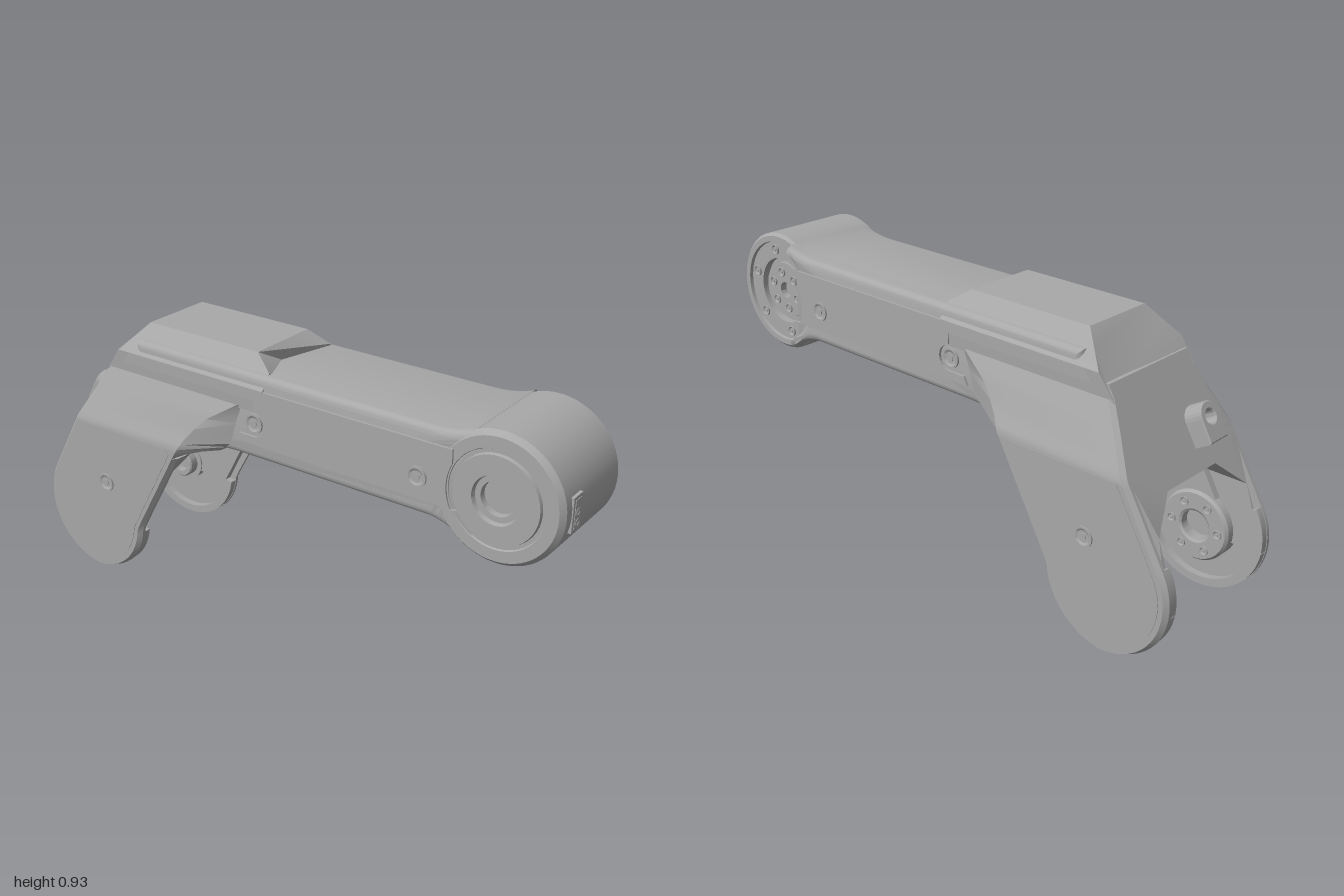
import * as THREE from 'three';
import { toCreasedNormals } from 'three/addons/utils/BufferGeometryUtils.js';

const shell = new THREE.MeshStandardMaterial({ color: 0xa8a8a8 });
shell.name = 'grey shell';
const HEAD = [0.785, 0.72], FOOT = [-0.775, 0.23], FOOT_R = 0.225;

function part(parent, name, geo, crease = 0.5) {
  const m = new THREE.Mesh(toCreasedNormals(geo, crease), shell);
  m.name = name;
  parent.add(m);
  return m;
}

// Extrude an x-y shape from z0 to z1, keeping the outline size
function slab(shape, z0, z1, bevel = 0, segs = 1) {
  const g = new THREE.ExtrudeGeometry(shape, {
    depth: z1 - z0 - 2 * bevel, bevelEnabled: bevel > 0, bevelSize: bevel,
    bevelThickness: bevel, bevelOffset: -bevel, bevelSegments: segs, curveSegments: 32,
  });
  return g.translate(0, 0, z0 + bevel);
}

// Turned part whose axis points along +z (dir 1) or -z (dir -1)
function turned(points, dir = 1, segs = 64) {
  const g = new THREE.LatheGeometry(points.map(p => new THREE.Vector2(p[0], p[1])), segs);
  return g.rotateX(dir * Math.PI / 2);
}

function screw(parent, x, y, z, dir, s = 1) {
  const pts = [[0.034, -0.005], [0.034, 0.005], [0.027, 0.005], [0.02, 0.001], [0.011, 0.001], [0.011, 0.004], [0, 0.004]];
  const m = part(parent, 'screw', turned(pts.map(p => [p[0] * s, p[1]]), dir, 20));
  m.position.set(x, y, z);
}

// Linear interpolation through [y, value] pairs
function ramp(table, y) {
  if (y <= table[0][0]) return table[0][1];
  for (let i = 1; i < table.length; i++) {
    const [y0, v0] = table[i - 1], [y1, v1] = table[i];
    if (y <= y1) return v0 + (v1 - v0) * (y - y0) / (y1 - y0);
  }
  return table[table.length - 1][1];
}

// Rear and front edges of the fork at a given height
const round = y => Math.sqrt(Math.max(0, FOOT_R ** 2 - (y - FOOT[1]) ** 2));
const rearX = y => y < 0.342 ? FOOT[0] - round(y) : ramp([[0.342, -0.97], [0.81, -0.7], [0.935, -0.58]], y);
const frontX = y => y < 0.215 ? FOOT[0] + round(y)
  : ramp([[0.215, -0.55], [0.55, -0.362], [0.64, -0.308], [0.7, -0.25], [0.77, -0.14]], y);
const blendX = y => ramp([[0.54, -0.368], [0.55, -0.345], [0.58, -0.24], [0.62, -0.18], [0.7, -0.15], [0.77, -0.125]], y);

// Fork leg lofted from horizontal cross-sections
function legGeometry(side) {
  const ys = [];
  for (let i = 0; i <= 24; i++) ys.push(FOOT[1] - FOOT_R * Math.cos(i / 24 * 2.09));
  ys.push(0.4, 0.5, 0.54, 0.55, 0.565, 0.58, 0.6, 0.62, 0.66, 0.7, 0.735, 0.77);
  const pos = [], idx = [], n = 6;
  for (const y of ys) {
    const xl = rearX(y), xr = frontX(y), b = Math.min(0.014, (xr - xl) / 2);
    const zo = ramp([[0.58, 0.275], [0.77, 0.2]], y), zi = y < 0.57 ? 0.25 : 0.15;
    const upper = y > 0.545, xf = upper ? blendX(y) : xr;
    const zf = upper ? 0.185 : zo - 0.014;
    const ring = [[xl, zi], [xl, zo - 0.014], [xl + b, zo], [xr - b, zo], [xf, zf], [xf, Math.min(zi, zf)]];
    for (const [x, z] of ring) pos.push(x, y, z * side);
  }
  for (let i = 0; i < ys.length - 1; i++) for (let j = 0; j < n; j++) {
    const a = i * n + j, b = i * n + (j + 1) % n, c = b + n, d = a + n;
    if (side > 0) idx.push(a, b, c, a, c, d);
    else idx.push(a, c, b, a, d, c);
  }
  const g = new THREE.BufferGeometry();
  g.setAttribute('position', new THREE.Float32BufferAttribute(pos, 3));
  g.setIndex(idx);
  return g;
}

// Mirrored z-y section run along x between two end rules
function run(half, startX, endX) {
  const pts = [...half, ...half.slice().reverse().map(([z, y]) => [-z, y])];
  const g = new THREE.ExtrudeGeometry(new THREE.Shape(pts.map(p => new THREE.Vector2(...p))), { depth: 1, bevelEnabled: false });
  g.rotateY(Math.PI / 2);
  const p = g.attributes.position;
  for (let i = 0; i < p.count; i++) p.setX(i, p.getX(i) < 0.5 ? startX(p.getY(i)) : endX(p.getY(i)));
  return g;
}

function beamShape(concave) {
  const s = new THREE.Shape();
  s.moveTo(-0.6, 0.57);
  s.lineTo(-0.4, 0.57);
  s.quadraticCurveTo(-0.28, 0.59, -0.15, 0.592);
  s.lineTo(0.56, 0.592);
  s.quadraticCurveTo(0.64, 0.585, 0.7, 0.53);
  if (concave) {
    s.lineTo(0.7, 0.572);
    s.absarc(...HEAD, 0.17, -2.09, 2.09, true);
  }
  s.lineTo(0.7, 0.912);
  s.quadraticCurveTo(0.64, 0.885, 0.56, 0.885);
  s.lineTo(-0.6, 0.885);
  return s;
}

// Side cover with a long tail and a notch around the screw
function coverShape() {
  const s = new THREE.Shape();
  s.moveTo(-0.165, 0.648);
  s.lineTo(0.66, 0.648);
  s.absarc(...HEAD, 0.162, -2.675, 2.675, true);
  s.lineTo(0.64, 0.838);
  s.lineTo(-0.62, 0.838);
  s.lineTo(-0.65, 0.802);
  s.lineTo(-0.085, 0.802);
  s.lineTo(-0.085, 0.765);
  s.absarc(-0.09, 0.72, 0.044, 1.57, -1.57, true);
  s.lineTo(-0.15, 0.676);
  return s;
}

export function createModel() {
  const model = new THREE.Group();
  model.name = 'armLink';

  // Beam, with a taller step on the back that wraps the joint
  part(model, 'beamCore', slab(beamShape(false), -0.15, 0.192, 0.025, 4));
  part(model, 'beam', slab(beamShape(true), -0.192, 0.192, 0.025, 4));

  // Hump and fork crown
  part(model, 'hump', run([[0.196, 0.76], [0.2, 0.84], [0.163, 0.89], [0.13, 0.936]], rearX,
    y => ramp([[0.84, -0.05], [0.89, -0.05], [0.936, -0.12]], y)));
  part(model, 'crown', run([[0.12, 0.51], [0.225, 0.42], [0.225, 0.2], [0.26, 0.2], [0.26, 0.55], [0.255, 0.58], [0.19, 0.77], [0.19, 0.81]],
    rearX, y => frontX(y) - 0.03));

  // Fork legs with inner rims, outer panels and screws
  const rim = new THREE.Shape();
  rim.absarc(...FOOT, FOOT_R - 0.002, 2.6, 6.13, false);
  rim.absarc(...FOOT, FOOT_R - 0.03, 6.13, 2.6, true);
  const panel = new THREE.Shape();
  panel.moveTo(-0.805, 0.57);
  panel.lineTo(-0.937, 0.342);
  panel.absarc(...FOOT, 0.195, 2.6, 6.2, false);
  panel.lineTo(-0.395, 0.55);
  panel.lineTo(-0.41, 0.57);
  for (const side of [1, -1]) {
    const leg = new THREE.Group();
    leg.name = side > 0 ? 'frontLeg' : 'rearLeg';
    model.add(leg);
    part(leg, 'legShell', legGeometry(side));
    part(leg, 'legRim', side > 0 ? slab(rim, 0.225, 0.255) : slab(rim, -0.255, -0.225));
    part(leg, 'legPanel', side > 0 ? slab(panel, 0.27, 0.277) : slab(panel, -0.277, -0.27));
    screw(leg, -0.7, 0.36, side * 0.277, side);
    // Side cover and its screws
    part(model, 'sideCover', side > 0 ? slab(coverShape(), 0.188, 0.201) : slab(coverShape(), -0.201, -0.188));
    screw(model, -0.09, 0.72, side * 0.194, side);
    screw(model, 0.525, 0.72, side * 0.202, side);
  }

  // Joint housing, turned from back to front
  const head = part(model, 'jointHousing', turned([
    [0, -0.115], [0.028, -0.115], [0.028, -0.14], [0.1, -0.14], [0.1, -0.12], [0.118, -0.12], [0.118, -0.148], [0.178, -0.148],
    [0.18, -0.16], [0.2, -0.16], [0.21, -0.15], [0.21, 0.178], [0.195, 0.195], [0.158, 0.195], [0.155, 0.189], [0.143, 0.189],
    [0.14, 0.2], [0.078, 0.2], [0.074, 0.185], [0.056, 0.185], [0.054, 0.165], [0, 0.165]]));
  head.position.set(...HEAD, 0);
  for (let i = 0; i < 6; i++) {
    const a = i * Math.PI / 3 + 0.3, c = Math.cos(a), s = Math.sin(a);
    screw(model, HEAD[0] + 0.149 * c, HEAD[1] + 0.149 * s, -0.149, -1, 0.55);
    screw(model, HEAD[0] + 0.066 * c, HEAD[1] + 0.066 * s, -0.141, -1, 0.5);
  }

  // Socket on the joint's end
  const socket = new THREE.Group();
  socket.name = 'socket';
  socket.position.set(0.99, 0.717, 0.12);
  model.add(socket);
  part(socket, 'socketPlate', new THREE.BoxGeometry(0.016, 0.112, 0.055));
  part(socket, 'socketBlock', new THREE.BoxGeometry(0.02, 0.09, 0.034));
  for (const y of [-0.03, 0.004]) {
    const pin = part(socket, 'socketPin', new THREE.TorusGeometry(0.01, 0.003, 8, 20).rotateY(Math.PI / 2));
    pin.position.set(0.009, y, 0);
  }

  // Bearing flange inside the front leg
  const flange = part(model, 'bearingFlange', turned([
    [0.12, -0.01], [0.12, 0.05], [0.112, 0.06], [0.058, 0.06], [0.05, 0.055], [0.05, 0.015], [0, 0.015]], -1));
  flange.position.set(...FOOT, 0.25);
  for (let i = 0; i < 6; i++) {
    const a = i * Math.PI / 3;
    screw(model, FOOT[0] + 0.085 * Math.cos(a), FOOT[1] + 0.085 * Math.sin(a), 0.19, -1, 0.45);
  }
  const block = part(model, 'flangeBlock', new THREE.BoxGeometry(0.17, 0.11, 0.05));
  block.position.set(-0.735, 0.345, 0.227);
  block.rotation.z = -0.52;

  // Pivot boss inside the rear leg
  const boss = part(model, 'pivotBoss', turned([
    [0.075, -0.01], [0.075, 0.03], [0.055, 0.03], [0.055, 0.06], [0.05, 0.065], [0.032, 0.065], [0.03, 0.04], [0, 0.04]]));
  boss.position.set(...FOOT, -0.25);

  // Cable port on the sloping back
  const port = new THREE.Shape();
  port.absarc(0, 0.018, 0.045, 0, Math.PI, false);
  port.lineTo(-0.045, -0.06);
  port.lineTo(0.045, -0.06);
  const hole = new THREE.Path();
  hole.absarc(0, 0.015, 0.022, 0, Math.PI * 2, true);
  port.holes.push(hole);
  const cablePort = part(model, 'cablePort', slab(port, -0.02, 0.06, 0.004));
  cablePort.position.set(-0.81, 0.62, 0.105);
  cablePort.rotation.set(0, 0, 0);
  cablePort.setRotationFromMatrix(new THREE.Matrix4().makeBasis(
    new THREE.Vector3(0, 0, 1), new THREE.Vector3(0.5, 0.866, 0), new THREE.Vector3(-0.866, 0.5, 0)));

  return model;
}
